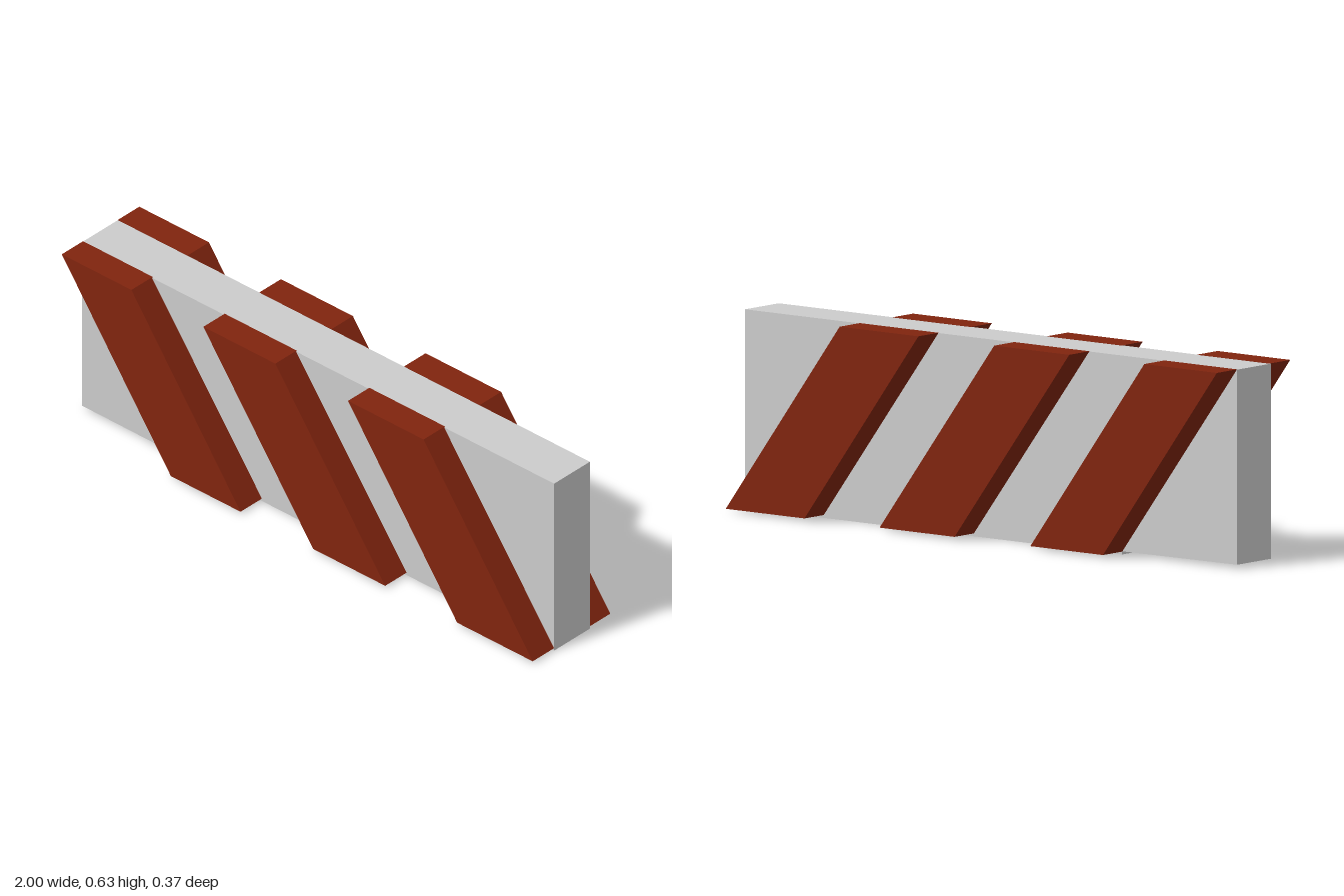
import * as THREE from 'three';

const TOP = 0.628;

// Extrudes a closed x/y outline from z0 to z1, then leans it slightly in z
function slab(name, points, z0, z1, lean, material) {
  const shape = new THREE.Shape(points.map(([x, y]) => new THREE.Vector2(x, y)));
  const geo = new THREE.ExtrudeGeometry(shape, { depth: z1 - z0, bevelEnabled: false });
  const p = geo.attributes.position;
  for (let i = 0; i < p.count; i++) {
    const x = p.getX(i), y = p.getY(i);
    p.setZ(i, p.getZ(i) + z0 - 0.002 + 0.0045 * x - lean * (y - TOP / 2));
  }
  geo.computeVertexNormals();
  const mesh = new THREE.Mesh(geo, material);
  mesh.name = name;
  return mesh;
}

export function createModel() {
  const group = new THREE.Group();
  group.name = 'stripedBarrier';
  const grey = new THREE.MeshStandardMaterial({ color: 0xcccccc });
  grey.name = 'light grey';
  const red = new THREE.MeshStandardMaterial({ color: 0x80240e });
  red.name = 'rust red';

  // Board, with a shallow step in its underside
  group.add(slab('board', [
    [-1, 0.012], [-0.533, 0.01], [-0.533, 0], [1, 0], [1, TOP], [-1, TOP],
  ], -0.083, 0.083, 0, grey));

  // Slanted raised bars: [top left, top right, bottom left, bottom right]
  const bars = [
    [-1, -0.705, -0.533, -0.238],
    [-0.4, -0.095, 0.07, 0.375],
    [0.213, 0.533, 0.68, 1],
  ];
  bars.forEach(([tl, tr, bl, br], i) => {
    const outline = [[bl, 0.009], [br, 0.009], [tr, TOP + 0.001], [tl, TOP + 0.001]];
    group.add(slab(`frontBar${i + 1}`, outline, 0.081, 0.18, 0.008, red));
    group.add(slab(`backBar${i + 1}`, outline, -0.18, -0.081, 0.008, red));
  });
  return group;
}
